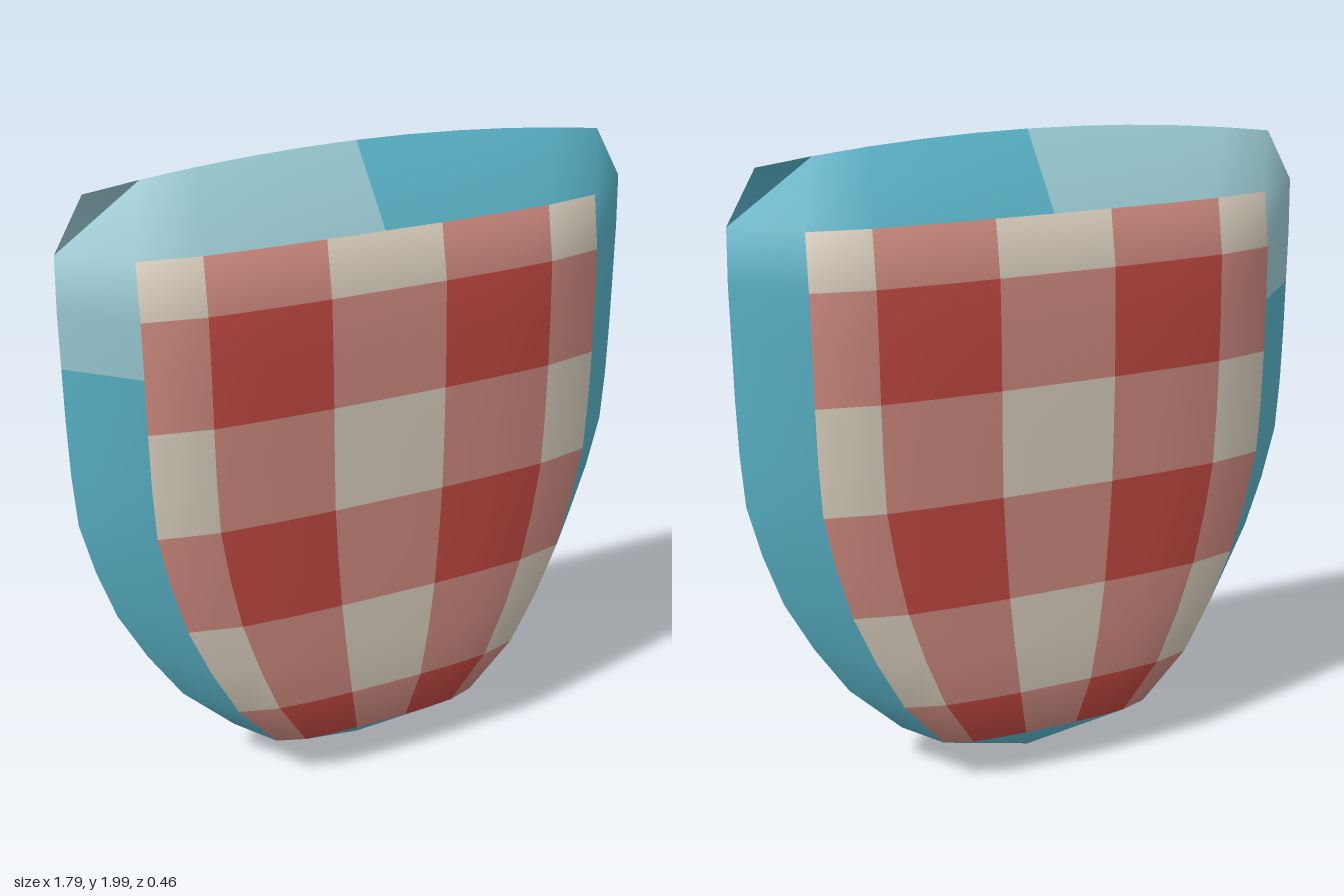
import * as THREE from 'three';

const flat = (name, color) => {
  const m = new THREE.MeshStandardMaterial({ color, side: THREE.DoubleSide });
  m.name = name;
  return m;
};

// half-width of each row from bottom to shoulder, and the pillow-like depth rules
const WIDTHS = [0.43, 0.595, 0.70, 0.785, 0.84, 0.88, 0.89, 0.893, 0.893, 0.893, 0.888];
const ROW_DEPTH = [0, 0.81, 0.96, 0.99, 1, 1, 1, 1, 1, 0.99, 0.96, 0.82, 0];
const COLUMN_DEPTH = [1, 1, 0.98, 0.935, 0.77, 0];
const COLS = 10, ROWS = 12, DEPTH = 0.229;

// point of the grid: row 0 is the bottom tip, row 12 the arched top edge
function gridPoint(row, col) {
  const u = (col - 5) / 5;
  const z = DEPTH * ROW_DEPTH[row] * COLUMN_DEPTH[Math.abs(col - 5)];
  if (row === 0) return [0, 0.01, 0];
  if (row === ROWS) return [u * 0.8, 2 - 0.055 * u * u, 0];
  return [u * WIDTHS[row - 1], 0.165 + 0.1625 * (row - 1), z];
}

export function createModel() {
  const model = new THREE.Group();
  model.name = 'shield';
  const mats = {
    teal: flat('teal', 0x57afc3),
    lightTeal: flat('light teal', 0x97c6cf),
    cream: flat('cream', 0xd6cbbb),
    pink: flat('pink', 0xca877d),
    red: flat('red', 0xbe4740),
  };

  // one smooth surface shared by all coloured parts of a half
  const positions = [], all = [];
  for (let r = 0; r <= ROWS; r++)
    for (let c = 0; c <= COLS; c++) positions.push(...gridPoint(r, c));

  const cell = (r, c) => {
    const a = r * (COLS + 1) + c, b = a + 1, d = a + COLS + 1, e = d + 1;
    const tris = [];
    if (r > 0) tris.push(a, b, e);
    // the flat triangle at one shoulder is left open
    if (!(r === ROWS - 1 && c === 0)) tris.push(a, e, d);
    return tris;
  };
  for (let r = 0; r < ROWS; r++)
    for (let c = 0; c < COLS; c++) all.push(...cell(r, c));

  const base = new THREE.BufferGeometry();
  base.setAttribute('position', new THREE.Float32BufferAttribute(positions, 3));
  base.setIndex(all);
  base.computeVertexNormals();

  // colour of a cell: teal rim with a light quarter, checked panel inside
  const colourOf = (r, c, isBack) => {
    const inPanel = c >= 1 && c <= 8 && r >= 1 && r <= 10;
    if (!inPanel) {
      const minusX = isBack ? c >= 5 : c < 5;
      return minusX && r >= 9 ? 'lightTeal' : 'teal';
    }
    const redRow = Math.floor(r / 2) % 2 === 0;
    const redCol = [2, 3, 6, 7].includes(c);
    return redRow && redCol ? 'red' : redRow || redCol ? 'pink' : 'cream';
  };

  const partNames = {
    teal: 'rim', lightTeal: 'rimHighlightQuarter',
    cream: 'panelLightChecks', pink: 'panelMixedChecks', red: 'panelDarkChecks',
  };

  // the back is the front turned half a circle
  for (const isBack of [false, true]) {
    const half = new THREE.Group();
    half.name = isBack ? 'backHalf' : 'frontHalf';
    const faces = { teal: [], lightTeal: [], cream: [], pink: [], red: [] };
    for (let r = 0; r < ROWS; r++)
      for (let c = 0; c < COLS; c++) faces[colourOf(r, c, isBack)].push(...cell(r, c));
    for (const key of Object.keys(faces)) {
      const g = new THREE.BufferGeometry();
      g.setAttribute('position', base.getAttribute('position'));
      g.setAttribute('normal', base.getAttribute('normal'));
      g.setIndex(faces[key]);
      const mesh = new THREE.Mesh(g, mats[key]);
      mesh.name = partNames[key];
      half.add(mesh);
    }
    if (isBack) half.rotation.y = Math.PI;
    model.add(half);
  }
  return model;
}
